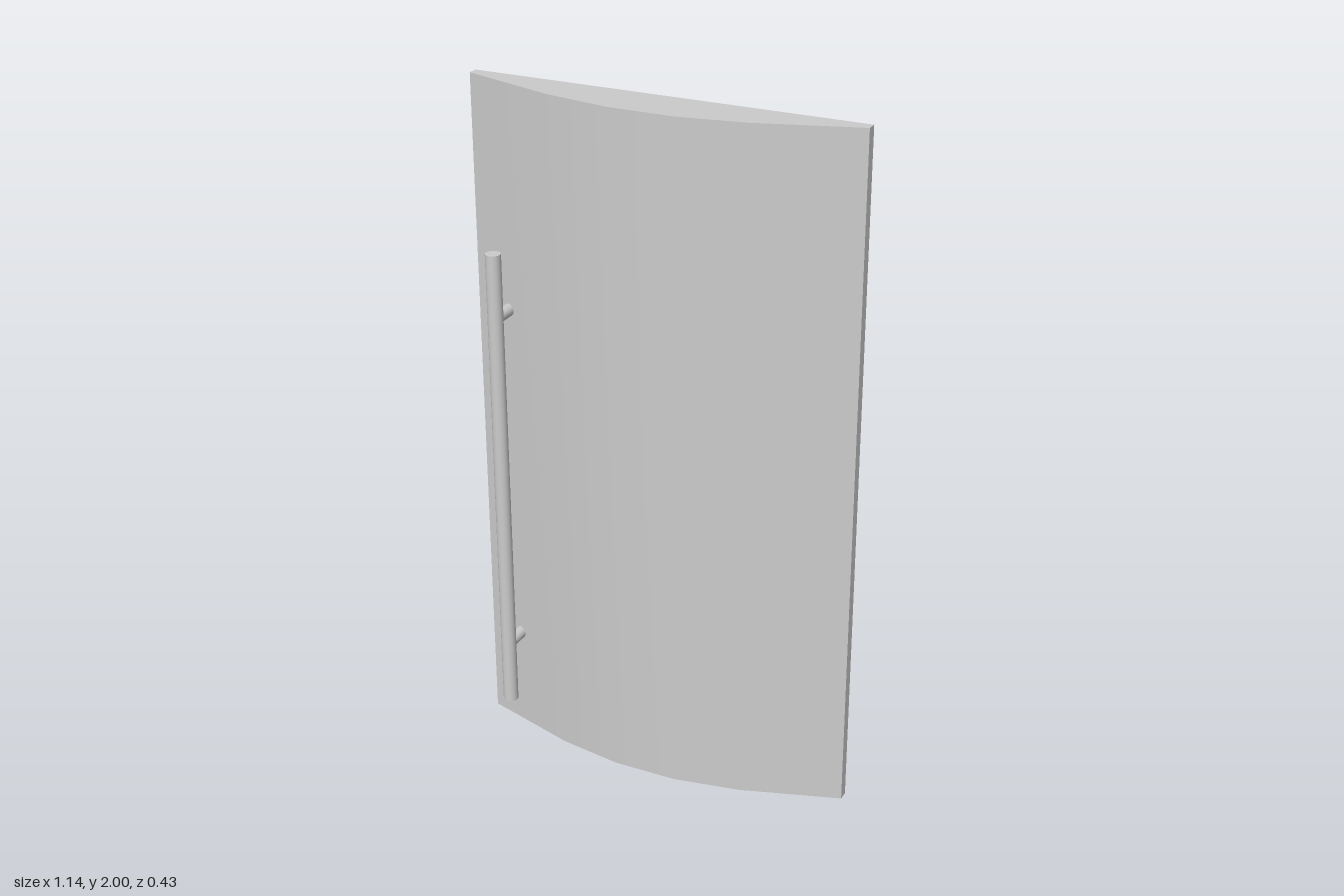
import * as THREE from 'three';
import { toCreasedNormals } from 'three/addons/utils/BufferGeometryUtils.js';

const solid = new THREE.MeshStandardMaterial({ color: 0xcccccc });
const shell = new THREE.MeshStandardMaterial({ color: 0xcccccc, side: THREE.DoubleSide });

// Skin a list of equally long point rows; smooth unless a crease angle is given.
function skin(rows, crease) {
  const n = rows[0].length, index = [];
  for (let r = 0; r < rows.length - 1; r++) {
    for (let c = 0; c < n - 1; c++) {
      const a = r * n + c, d = a + n;
      index.push(a, a + 1, d, a + 1, d + 1, d);
    }
  }
  const geo = new THREE.BufferGeometry();
  geo.setAttribute('position', new THREE.Float32BufferAttribute(rows.flat(2), 3));
  geo.setIndex(index);
  geo.computeVertexNormals();
  return crease === undefined ? geo : toCreasedNormals(geo, crease);
}

function add(parent, name, geo, mat = solid) {
  const mesh = new THREE.Mesh(geo, mat);
  mesh.name = name;
  parent.add(mesh);
  return mesh;
}

const WALL = 0.045;      // depth of the recessed back wall
const HALF = 0.52;       // half width of the recess
const TOP = 1.945, BOTTOM = 0.09;

// Rows across the recess, from -x to +x
const wallRow = (y) => [-HALF, -0.443, 0, 0.443, HALF].map((x) => [x, y, WALL]);
const floorLine = (y) => [
  [-HALF, y + 0.05, WALL], [-0.44, y - 0.005, WALL], [0, y - 0.005, WALL],
  [0.44, y - 0.005, WALL], [HALF, y + 0.05, WALL],
];
// Outline of a bin: a shallow point in the middle and slanted sides
const binRow = (ySide, yFront) => [
  [-HALF, ySide, WALL], [-0.443, yFront, -0.145], [0, yFront, -0.215],
  [0.443, yFront, -0.145], [HALF, ySide, WALL],
];

export function createModel() {
  const model = new THREE.Group();
  model.name = 'refrigeratorDoor';

  // Bowed outer panel
  const half = [[0.57, 0.05], [0.57, 0.08], [0.285, 0.17], [0.095, 0.203]];
  const outline = [...half, ...half.map(([x, z]) => [-x, z]).reverse()];
  const panel = new THREE.ExtrudeGeometry(
    new THREE.Shape(outline.map(([x, z]) => new THREE.Vector2(x, z))),
    { depth: 2, bevelEnabled: false });
  panel.rotateX(Math.PI / 2).translate(0, 2, 0);
  add(model, 'outerPanel', toCreasedNormals(panel, 0.6));

  // Handle bar on two posts
  const handle = new THREE.Group();
  handle.name = 'handle';
  handle.position.set(-0.455, 0.83, 0.19);
  add(handle, 'handleBar', new THREE.CylinderGeometry(0.022, 0.022, 1.42, 24));
  for (const y of [-0.52, 0.52]) {
    const post = new THREE.CylinderGeometry(0.018, 0.018, 0.08, 20).rotateX(Math.PI / 2);
    add(handle, 'handlePost', post).position.set(0, y, -0.04);
  }
  model.add(handle);

  // Tapered rim of the inner liner
  const ring = (x, y0, y1, z) =>
    [[-x, y0, z], [x, y0, z], [x, y1, z], [-x, y1, z], [-x, y0, z]];
  add(model, 'linerRim', skin([
    ring(HALF, BOTTOM, TOP, WALL),
    ring(0.535, 0.083, 1.962, -0.027),
    ring(0.55, 0.058, 1.984, 0.05),
  ], 0.1), shell);

  // Liner wall above the top bin
  const lips = [1.705, 1.223, 0.741, 0.259];
  add(model, 'linerWall', skin([wallRow(TOP), floorLine(lips[0])]), shell);

  // Door bins, each with the wall that runs down from its underside
  lips.forEach((lip, i) => {
    const last = i === lips.length - 1;
    const front = last ? 0.13 : lip - 0.16;
    const back = last ? BOTTOM : lip - 0.2;
    const bin = new THREE.Group();
    bin.name = 'doorBin';

    const side = lip + 0.05, base = lip - 0.135;
    const trough = [
      [-HALF, side, WALL], [-0.4, base, -0.125], [0, base, -0.13],
      [0.4, base, -0.125], [HALF, side, WALL],
    ];
    add(bin, 'binInside', skin([floorLine(lip), trough, binRow(side, lip)], 0.9), shell);
    add(bin, 'binFront', skin([binRow(side, lip), binRow(back, front)]), shell);

    const under = [binRow(back, front), wallRow(back)];
    if (!last) under.push(floorLine(lips[i + 1]));
    add(bin, 'binUnderside', skin(under), shell);
    model.add(bin);
  });

  return model;
}
